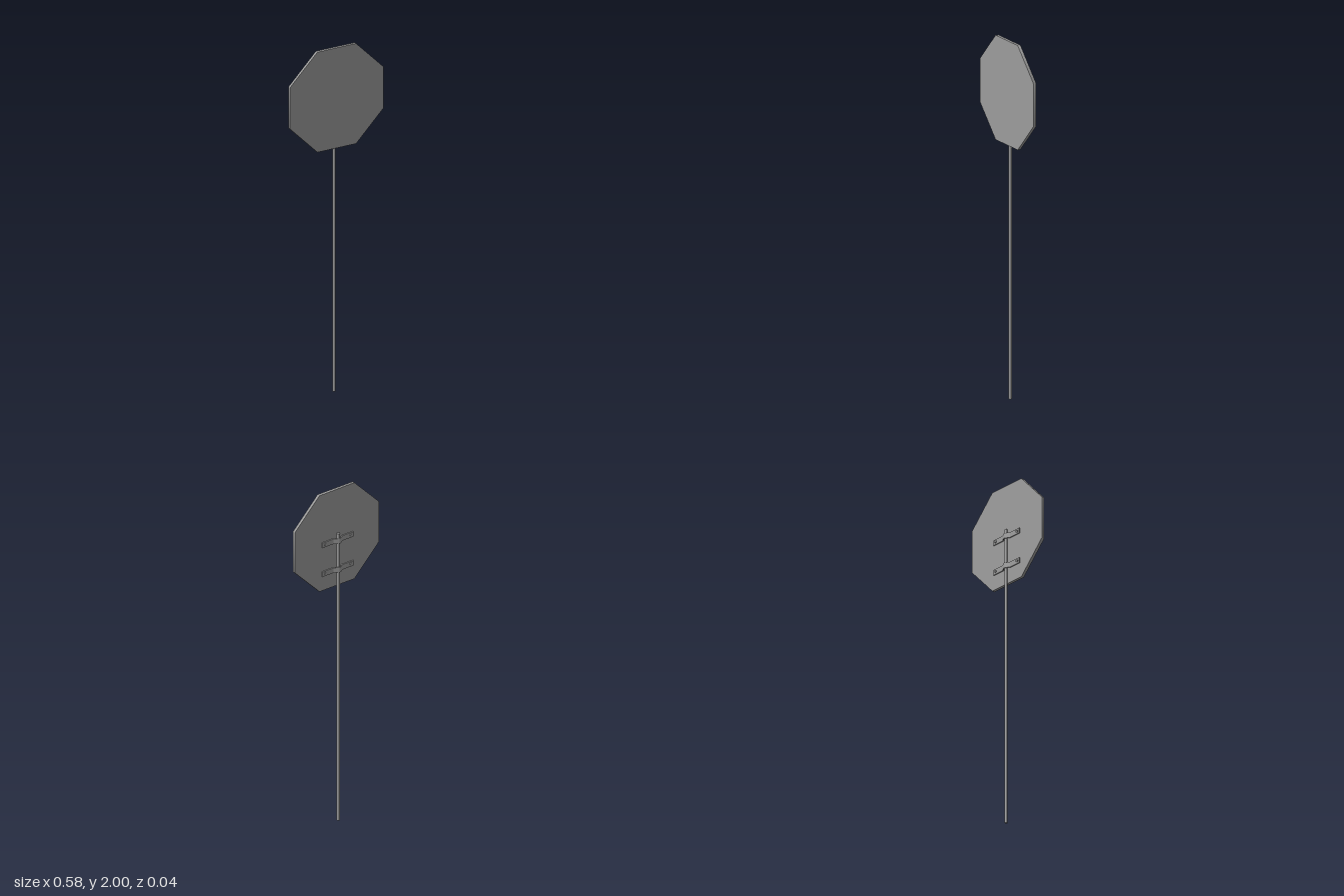
import * as THREE from 'three';

const material = new THREE.MeshStandardMaterial({ color: 0x9c9c9c });

function addMesh(parent, name, geometry, x, y, z) {
  const mesh = new THREE.Mesh(geometry, material);
  mesh.name = name;
  mesh.position.set(x, y, z);
  parent.add(mesh);
}

// Strap bent into a V around the post, as a plan outline extruded upward
function strapGeometry(height) {
  const outer = [[-0.107, -0.003], [-0.031, -0.003], [-0.004, -0.0195], [0.004, -0.0195], [0.031, -0.003], [0.107, -0.003]];
  const inner = [[0.107, 0.003], [0.028, 0.003], [0.003, -0.0145], [-0.003, -0.0145], [-0.028, 0.003], [-0.107, 0.003]];
  // Shape y becomes -z once the extrusion is turned upright
  const shape = new THREE.Shape([...outer, ...inner].map(([x, z]) => new THREE.Vector2(x, -z)));
  const geometry = new THREE.ExtrudeGeometry(shape, { depth: height, bevelEnabled: false });
  return geometry.rotateX(-Math.PI / 2).translate(0, -height / 2, 0);
}

export function createModel() {
  const model = new THREE.Group();
  model.name = 'roadSign';
  const postX = -0.003;

  // Octagonal plate with a smooth-shaded rim, flat sides up, down, left and right
  const plate = new THREE.CylinderGeometry(0.3147, 0.3147, 0.017, 8);
  plate.rotateY(Math.PI / 8).rotateX(Math.PI / 2);
  addMesh(model, 'signPlate', plate, 0, 1.7093, 0.0115);

  // Slim round post
  const postHeight = 1.735;
  addMesh(model, 'post', new THREE.CylinderGeometry(0.0085, 0.0085, postHeight, 20), postX, postHeight / 2, -0.004);

  // Two clamps, each with a bolt at either end
  const strap = strapGeometry(0.03);
  const bolt = new THREE.CylinderGeometry(0.0075, 0.0075, 0.007, 12).rotateX(Math.PI / 2);
  [['upper', 1.695], ['lower', 1.52]].forEach(([label, y]) => {
    const clamp = new THREE.Group();
    clamp.name = label + 'Clamp';
    clamp.position.set(postX, y, 0);
    addMesh(clamp, 'strap', strap, 0, 0, 0);
    for (const side of [-1, 1]) {
      addMesh(clamp, side > 0 ? 'leftBolt' : 'rightBolt', bolt, side * 0.088, 0, -0.0045);
    }
    model.add(clamp);
  });

  return model;
}
